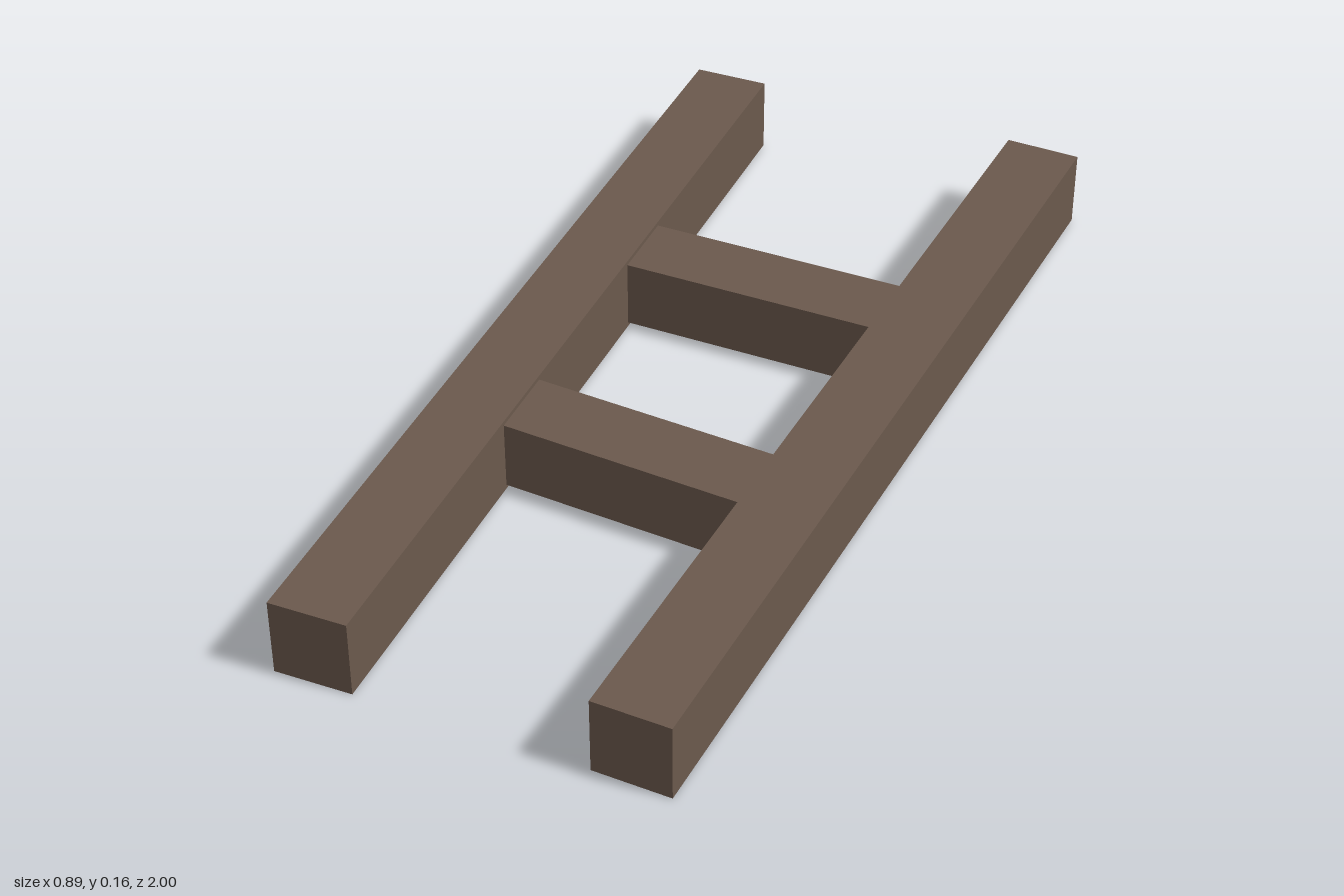
import * as THREE from 'three';

export function createModel() {
  const model = new THREE.Group();
  const wood = new THREE.MeshStandardMaterial({ color: 0x6b594d });
  wood.name = 'brown wood';

  // A square beam, turned about the vertical axis
  function beam(name, size, position, turn) {
    const mesh = new THREE.Mesh(new THREE.BoxGeometry(...size), wood);
    mesh.name = name;
    mesh.position.set(...position);
    mesh.rotation.y = turn;
    model.add(mesh);
  }

  // Long rails, the right one slightly askew
  beam('leftRail', [0.158, 0.162, 1.974], [0.365, 0.081, -0.013], 0);
  beam('rightRail', [0.158, 0.162, 1.974], [-0.314, 0.081, 0.008], 0.0535);

  // Rungs, slimmer than the rails and let into them
  beam('backRung', [0.64, 0.144, 0.158], [0.015, 0.081, -0.311], 0.031);
  beam('frontRung', [0.61, 0.144, 0.158], [0.03, 0.081, 0.286], -0.029);

  return model;
}
